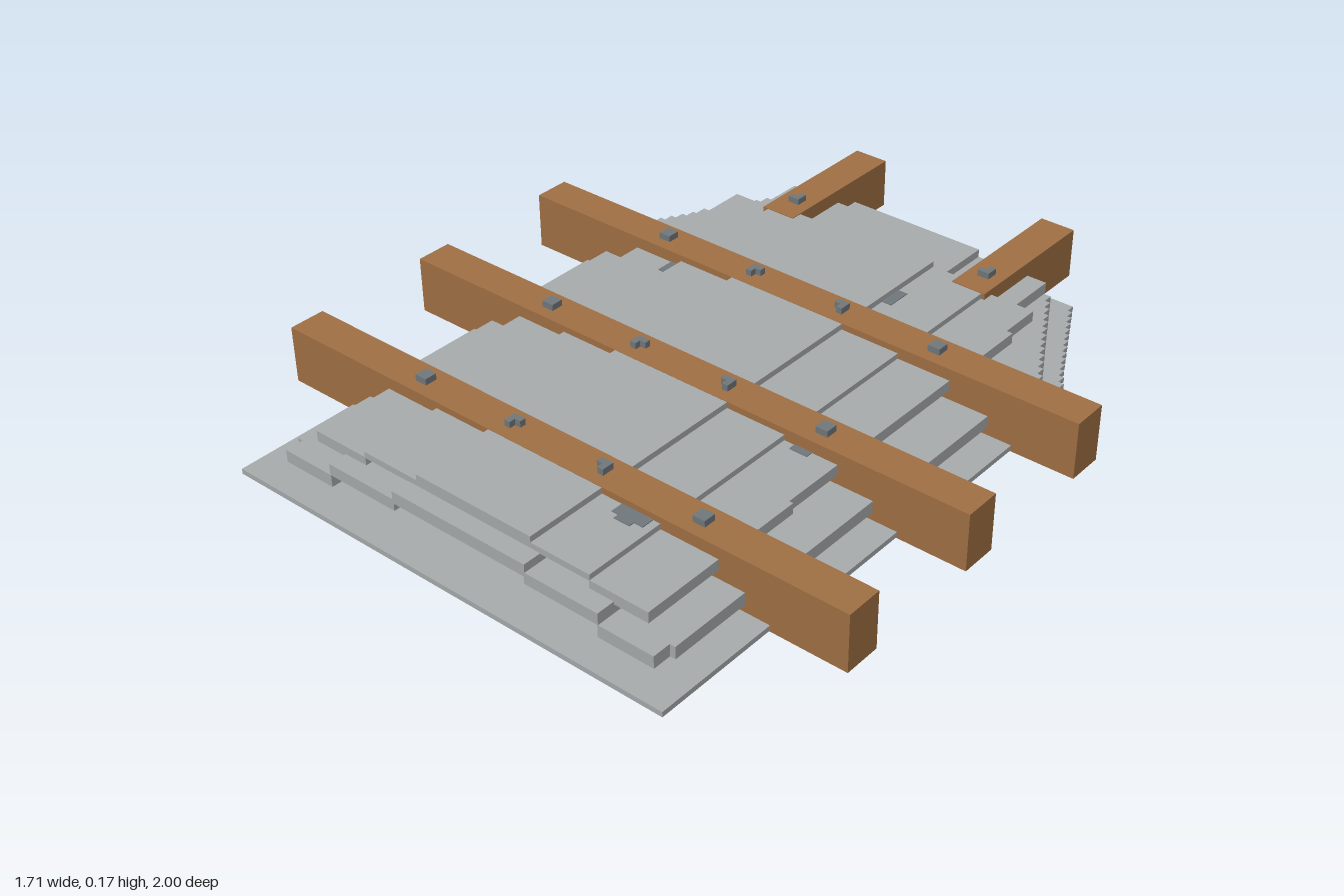
import * as THREE from 'three';

export function createModel() {
  const model = new THREE.Group();
  const plateGrey = new THREE.MeshStandardMaterial({ color: 0xa7aaab });
  const timber = new THREE.MeshStandardMaterial({ color: 0x9f6f43 });
  const boltGrey = new THREE.MeshStandardMaterial({ color: 0x70777a });
  plateGrey.name = 'plateGrey';
  timber.name = 'timberBrown';
  boltGrey.name = 'boltGrey';

  // Box given by its limits on each axis
  function box(name, mat, x0, x1, y0, y1, z0, z1, parent = model) {
    const mesh = new THREE.Mesh(new THREE.BoxGeometry(x1 - x0, y1 - y0, z1 - z0), mat);
    mesh.position.set((x0 + x1) / 2, (y0 + y1) / 2, (z0 + z1) / 2);
    mesh.name = name;
    parent.add(mesh);
    return mesh;
  }

  // Flat plate cut from an [x, z] outline
  function plate(name, points, y0, y1) {
    const shape = new THREE.Shape(points.map(([x, z]) => new THREE.Vector2(x, z)));
    const geo = new THREE.ExtrudeGeometry(shape, { depth: y1 - y0, bevelEnabled: false });
    geo.rotateX(Math.PI / 2).translate(0, y1, 0);
    const mesh = new THREE.Mesh(geo, plateGrey);
    mesh.name = name;
    model.add(mesh);
  }

  // Rows [x, zStart, zEnd] become a stepped edge running from front to back
  const steppedEdge = rows => rows.flatMap(([x, z0, z1]) => [[x, z0], [x, z1]]);
  const mirror = points => points.map(([x, z]) => [-x, z]);

  // Fine staircase following a tapering line
  function taperRows(line, count) {
    const z0 = line[0][1], z1 = line[line.length - 1][1];
    const rows = [];
    for (let i = 0; i < count; i++) {
      const a = z0 + (z1 - z0) * i / count, b = z0 + (z1 - z0) * (i + 1) / count;
      const mid = (a + b) / 2;
      const k = Math.max(1, line.findIndex(p => p[1] <= mid));
      const [p, q] = [line[k - 1], line[k]];
      rows.push([p[0] + (q[0] - p[0]) * (mid - p[1]) / (q[1] - p[1]), a, b]);
    }
    return rows;
  }

  // Thin base sheet
  const baseEdge = steppedEdge([
    [0.648, 1, 0.6], [0.667, 0.6, 0.175], [0.68, 0.175, -0.267], [0.7, -0.267, -0.42],
    ...taperRows([[0.69, -0.42], [0.605, -0.56], [0.455, -0.845]], 17),
  ]);
  plate('baseSheet', [...baseEdge, ...mirror(baseEdge).reverse()], 0.003, 0.017);

  // Lower and upper shells, stepping up towards the centre line
  const lowerEdge = steppedEdge([
    [0.565, 0.93, 0.88], [0.58, 0.88, 0.62], [0.598, 0.62, 0.12], [0.61, 0.12, -0.27],
    [0.625, -0.27, -0.34], [0.635, -0.34, -0.42],
    ...taperRows([[0.625, -0.42], [0.545, -0.56], [0.425, -0.775]], 13),
  ]);
  const upperEdge = steppedEdge([[0.508, 0.88, 0.4], [0.497, 0.4, -0.49], [0.48, -0.49, -0.61]]);
  const lowerOuter = [[0.41, 0.93], ...lowerEdge, [0.41, -0.775]];
  const upperOuter = [[0.343, 0.88], ...upperEdge, [0.343, -0.61]];
  plate('lowerOuterPlateLeft', lowerOuter, 0.037, 0.07);
  plate('lowerOuterPlateRight', mirror(lowerOuter), 0.037, 0.07);
  plate('upperOuterPlateLeft', upperOuter, 0.094, 0.123);
  plate('upperOuterPlateRight', mirror(upperOuter), 0.094, 0.123);
  for (const [side, s] of [['Left', 1], ['Right', -1]]) {
    const strip = (name, a, b, ...rest) =>
      box(name + side, plateGrey, Math.min(a * s, b * s), Math.max(a * s, b * s), ...rest);
    strip('lowerMiddlePlate', 0.2, 0.412, 0.07, 0.101, -0.78, 0.93);
    strip('upperMiddlePlate', 0.173, 0.345, 0.121, 0.138, -0.61, 0.88);
  }
  box('lowerCentrePlate', plateGrey, -0.203, 0.203, 0.09, 0.123, -0.78, 0.93);
  box('upperCentrePlate', plateGrey, -0.175, 0.175, 0.123, 0.154, -0.61, 0.88);

  // Bolt head: a square, or a corner piece with arms towards sx and sz
  function bolt(x, y, z, sx = 0, sz = 0) {
    const g = new THREE.Group();
    g.name = 'bolt';
    g.position.set(x, y, z);
    const h = 0.017, r = 0.017;
    if (!sx) {
      box('boltHead', boltGrey, -r, r, 0, h, -r, r, g);
    } else {
      const armX = sx * 0.0085, armZ = sz * 0.0085;
      box('boltHeadBar', boltGrey, -r, r, 0, h, armZ - 0.0085, armZ + 0.0085, g);
      box('boltHeadArm', boltGrey, armX - 0.0085, armX + 0.0085, 0, h,
        sz > 0 ? -r : 0, sz > 0 ? 0 : r, g);
    }
    model.add(g);
  }

  // Cross beams with four bolts each
  for (const z of [-0.267, 0.175, 0.605]) {
    box('crossBeam', timber, -0.853, 0.853, 0, 0.155, z - 0.05, z + 0.05);
    bolt(-0.43, 0.155, z);
    bolt(-0.138, 0.155, z, -1, -1);
    bolt(0.132, 0.155, z, 1, -1);
    bolt(0.425, 0.155, z);
  }

  // Two beams jutting out of the back
  for (const x of [-0.31, 0.305]) {
    box('rearBeam', timber, x - 0.05, x + 0.05, 0, 0.14, -1, -0.577);
    bolt(x, 0.14, -0.66, 1, 1);
  }

  // Small dark dents on the plates
  const dents = [
    [0.174, 0.203, 0.138, -0.455, -0.385],
    [-0.378, -0.345, 0.123, -0.218, -0.165],
    [-0.36, -0.345, 0.123, -0.165, -0.15],
    [0.375, 0.425, 0.123, 0.224, 0.245],
    [-0.187, -0.175, 0.138, 0.455, 0.485],
    [0.235, 0.325, 0.138, 0.654, 0.69],
    [0.255, 0.3, 0.138, 0.69, 0.705],
  ];
  for (const [x0, x1, y, z0, z1] of dents) box('dent', boltGrey, x0, x1, y - 0.002, y + 0.002, z0, z1);

  return model;
}
